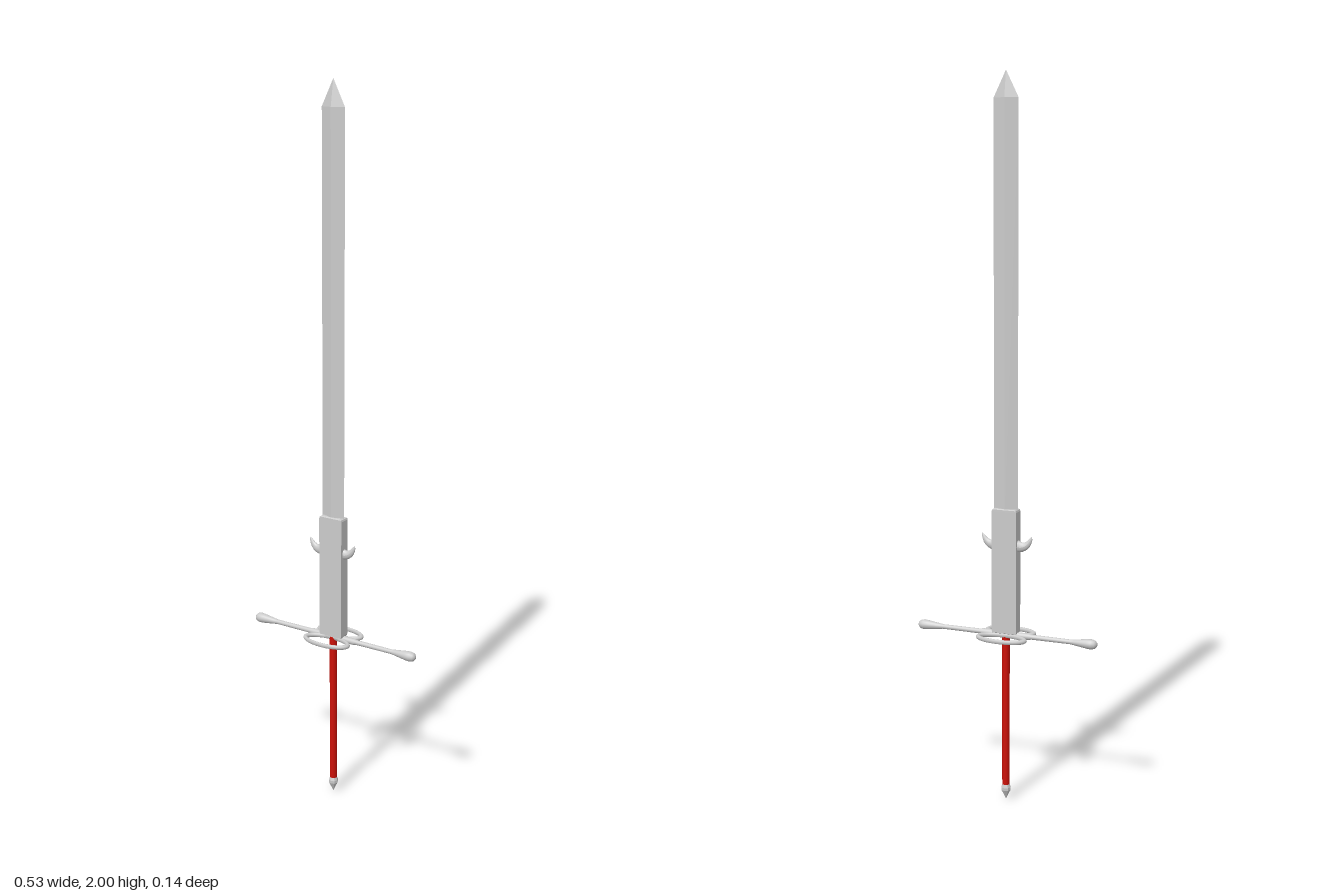
import * as THREE from 'three';

const steel = new THREE.MeshStandardMaterial({ color: 0xcccccc });
const facetedSteel = new THREE.MeshStandardMaterial({ color: 0xcccccc, flatShading: true });
const red = new THREE.MeshStandardMaterial({ color: 0xcc1108 });

const GUARD_Y = 0.484;

function add(parent, name, geometry, material) {
  const mesh = new THREE.Mesh(geometry, material);
  mesh.name = name;
  parent.add(mesh);
  return mesh;
}

function lathe(points, segments) {
  return new THREE.LatheGeometry(points.map(([r, y]) => new THREE.Vector2(r, y)), segments);
}

// Curved, tapering horn: a cylinder whose rings follow an upward-bending path
function hornGeometry() {
  const path = new THREE.QuadraticBezierCurve3(
    new THREE.Vector3(0.028, 0.738, 0),
    new THREE.Vector3(0.06, 0.728, 0),
    new THREE.Vector3(0.073, 0.768, 0));
  const geometry = new THREE.CylinderGeometry(1, 1, 1, 14, 10);
  const pos = geometry.attributes.position;
  for (let i = 0; i < pos.count; i++) {
    const t = pos.getY(i) + 0.5;
    const taper = Math.sqrt(1 - t) * (1 - 0.25 * t);
    const centre = path.getPoint(t);
    const tan = path.getTangent(t);
    const u = -pos.getX(i) * 0.017 * taper;
    pos.setXYZ(i, centre.x - tan.y * u, centre.y + tan.x * u, pos.getZ(i) * 0.012 * taper);
  }
  geometry.computeVertexNormals();
  return geometry;
}

export function createModel() {
  const sword = new THREE.Group();
  sword.name = 'sword';

  // Diamond-section blade with a pointed tip
  const blade = new THREE.Group();
  blade.name = 'blade';
  sword.add(blade);
  const body = new THREE.CylinderGeometry(1, 1, 1.13, 4, 1, true);
  add(blade, 'bladeBody', body.scale(0.035, 1, 0.012).translate(0, 1.365, 0), facetedSteel);
  const tip = new THREE.ConeGeometry(1, 0.07, 4, 1, true);
  add(blade, 'bladeTip', tip.scale(0.035, 1, 0.012).translate(0, 1.965, 0), facetedSteel);

  // Thick block at the blade's base, with chamfered edges
  const w = 0.03, d = 0.012;
  const section = new THREE.Shape([[-w, -d], [w, -d], [w, d], [-w, d]].map(p => new THREE.Vector2(...p)));
  const block = new THREE.ExtrudeGeometry(section, {
    depth: 0.338, bevelEnabled: true, bevelThickness: 0.007, bevelSize: 0.006, bevelSegments: 2,
  });
  // Narrow the upright corners into chamfers
  const pos = block.attributes.position;
  for (let i = 0; i < pos.count; i++) {
    const x = pos.getX(i), z = pos.getY(i);
    if (Math.abs(x) > w && Math.abs(z) > d) pos.setXY(i, x, Math.sign(z) * (d + 0.004));
  }
  block.rotateX(-Math.PI / 2).translate(0, 0.495, 0);
  add(sword, 'bladeBase', block, facetedSteel);

  // Pair of upswept horns
  const horns = new THREE.Group();
  horns.name = 'horns';
  horns.position.x = -0.003;
  sword.add(horns);
  const horn = hornGeometry();
  add(horns, 'leftHorn', horn, steel);
  add(horns, 'rightHorn', horn, steel).rotation.y = Math.PI;

  // Crossguard arms ending in teardrop knobs
  const guard = new THREE.Group();
  guard.name = 'crossguard';
  guard.position.y = GUARD_Y;
  sword.add(guard);
  const arm = lathe([
    [0.009, 0], [0.009, 0.07], [0.007, 0.075], [0.0065, 0.19], [0.008, 0.2], [0.0105, 0.218],
    [0.013, 0.236], [0.014, 0.249], [0.0115, 0.259], [0.006, 0.264], [0, 0.265],
  ], 16).rotateZ(-Math.PI / 2);
  add(guard, 'leftArm', arm, steel);
  add(guard, 'rightArm', arm, steel).rotation.y = Math.PI;

  // Flattened side rings in front of and behind the guard
  const ring = new THREE.TorusGeometry(0.067, 0.0075, 10, 40).rotateX(Math.PI / 2).scale(1, 0.85, 0.45);
  for (const [name, side] of [['frontRing', 1], ['backRing', -1]]) {
    add(guard, name, ring, steel).position.set(-0.001, -0.002, side * 0.036 - 0.002);
  }

  // Slender grip with a collar under the guard
  const grip = new THREE.CylinderGeometry(0.0105, 0.0105, 0.44, 16);
  add(sword, 'grip', grip.translate(0, 0.265, 0), red);

  // Pointed pommel
  const pommel = lathe([[0, 0], [0.006, 0.013], [0.0135, 0.028], [0.0135, 0.036], [0.009, 0.048], [0, 0.048]], 8);
  add(sword, 'pommel', pommel, facetedSteel);

  return sword;
}
